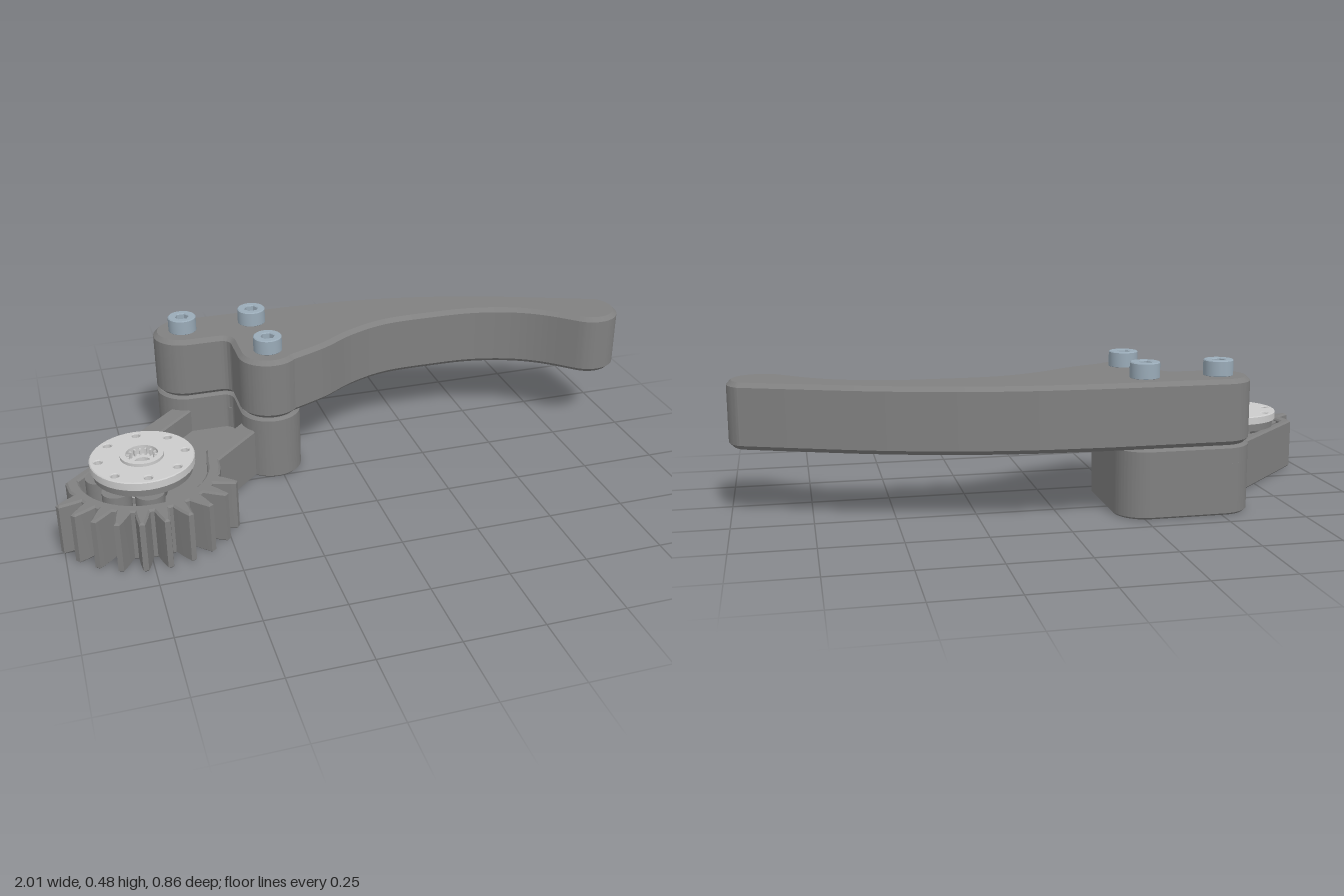
import * as THREE from 'three';
import { toCreasedNormals } from 'three/addons/utils/BufferGeometryUtils.js';

const RAD = Math.PI / 180;
const mat = (color) => new THREE.MeshStandardMaterial({ color });
const V = (x, z) => new THREE.Vector2(x, z);

// Bolt positions (x, z), gear centre, and sizes
const BOLTS = [[-0.51, -0.33], [-0.27, -0.33], [-0.27, -0.09]];
const [GX, GZ] = [-0.73, 0.125];
const R = 0.1;

// Point in the diagonal arm frame: u towards the pad, v across the arm
const P = (u, v) => V(GX + (u + v) * Math.SQRT1_2, GZ + (v - u) * Math.SQRT1_2);
const polar = (r, deg) => V(GX + r * Math.cos(deg * RAD), GZ + r * Math.sin(deg * RAD));

const arc = (s, [x, z], r, a, b) => s.absarc(x, z, r, a * RAD, b * RAD, false);

function circle(x, z, r, sides = 0) {
  if (!sides) return new THREE.Shape().absarc(x, z, r, 0, Math.PI * 2, false);
  return new THREE.Shape(Array.from({ length: sides }, (_, i) =>
    V(x + r * Math.cos(i / sides * Math.PI * 2), z + r * Math.sin(i / sides * Math.PI * 2))));
}

// Upright prism over a plan outline in (x, z)
function prism(name, shape, y0, y1, bevel, material, holes = []) {
  shape.holes.push(...holes);
  const geo = new THREE.ExtrudeGeometry(shape, {
    depth: y1 - y0 - 2 * bevel, curveSegments: 20, bevelEnabled: bevel > 0,
    bevelSize: bevel, bevelThickness: bevel, bevelOffset: -bevel, bevelSegments: 1,
  });
  geo.rotateX(Math.PI / 2).translate(0, y1 - bevel, 0);
  const mesh = new THREE.Mesh(toCreasedNormals(geo, 0.5), material);
  mesh.name = name;
  return mesh;
}

// Turned part from a closed (radius, height) profile
function turned(name, profile, x, z, material) {
  const pts = [...profile, profile[0]].map(([r, y]) => V(r, y));
  const geo = toCreasedNormals(new THREE.LatheGeometry(pts, 40), 0.5);
  const mesh = new THREE.Mesh(geo, material);
  mesh.position.set(x, 0, z);
  mesh.name = name;
  return mesh;
}

// Arm outline: gear sector, two straight sides, rounded three-bolt end
function armOutline() {
  const pts = [polar(0.24, 0), polar(0.24, 10), polar(0.24, 20)];
  for (let i = 0; i < 10; i++) {
    const a = 29 + i * 14;
    pts.push(polar(0.235, a - 5.5), polar(0.268, a - 3.6), polar(0.304, a - 1.6),
      polar(0.304, a + 1.6), polar(0.268, a + 3.6), polar(0.235, a + 5.5));
  }
  pts.push(polar(0.24, 166), polar(0.24, 180));
  const s = new THREE.Shape(pts);
  arc(s, BOLTS[0], R, 135, 270);
  arc(s, BOLTS[1], R, 270, 360);
  arc(s, BOLTS[2], R, 0, 135);
  s.closePath();
  return s;
}

// Pocket outline, optionally grown by g
function pocket(g = 0) {
  const pts = [P(0.49 + g, 0.1 + g), P(0.2, 0.1 + g)];
  for (let a = 0; a <= 180; a += 9) pts.push(polar(0.2 + g, a));
  pts.push(P(0.1, -0.14 - g), P(0.2, -0.1 - g), P(0.49 + g, -0.1 - g));
  return new THREE.Shape(pts);
}

// Inner corner shared by the pad and the handle
function innerCorner(s) {
  arc(s, BOLTS[2], R, s.padStart, 180);
  s.lineTo(-0.37, -0.19);
  s.quadraticCurveTo(-0.37, -0.23, -0.41, -0.23);
  s.closePath();
  return s;
}

function padOutline() {
  const s = new THREE.Shape();
  arc(s, BOLTS[0], R, 90, 270);
  arc(s, BOLTS[1], R, 270, 360);
  s.padStart = 0;
  return innerCorner(s);
}

function handleOutline() {
  const s = new THREE.Shape();
  arc(s, BOLTS[0], R, 90, 270);
  s.lineTo(-0.13, -0.43);
  s.splineThru([V(0.1, -0.418), V(0.32, -0.385), V(0.55, -0.325), V(0.77, -0.245), V(0.962, -0.17)]);
  arc(s, [0.897, -0.095], R, -48, 135);
  s.splineThru([V(0.73, -0.11), V(0.63, -0.165), V(0.5, -0.2), V(0.36, -0.207),
    V(0.18, -0.2), V(0.04, -0.15), V(-0.08, -0.075), V(-0.2, -0.02)]);
  s.padStart = 45;
  return innerCorner(s);
}

export function createModel() {
  const model = new THREE.Group();
  model.name = 'gearLever';
  const dark = mat(0x808080), metal = mat(0xcccccc), steel = mat(0x9aabb8);

  // Geared arm with its pocket
  const arm = new THREE.Group();
  arm.name = 'gearedArm';
  const screwAngles = [180, 135, 90, -45];
  arm.add(prism('armWalls', armOutline(), 0, 0.172, 0.006, dark,
    [pocket(), ...BOLTS.map(([x, z]) => circle(x, z, 0.045))]));
  arm.add(prism('pocketFloor', pocket(0.014), 0.001, 0.09, 0, dark, [circle(GX, GZ, 0.07),
    ...screwAngles.map((a) => { const p = polar(0.135, a); return circle(p.x, p.y, 0.026); })]));
  for (const a of screwAngles) {
    const p = polar(0.135, a);
    arm.add(turned('screwBoss', [[0.045, 0.08], [0.045, 0.172], [0.018, 0.172], [0.018, 0.08]], p.x, p.y, dark));
  }
  arm.add(prism('boltPad', padOutline(), 0.02, 0.222, 0.008, dark));
  model.add(arm);

  // Curved handle
  model.add(prism('handle', handleOutline(), 0.222, 0.43, 0.014, dark));

  // Round metal horn with a ring of holes and a splined hub
  const horn = new THREE.Group();
  horn.name = 'hornDisc';
  const ringHoles = () => [circle(GX, GZ, 0.055), ...Array.from({ length: 8 }, (_, i) => {
    const p = polar(0.135, i * 45);
    return circle(p.x, p.y, 0.013);
  })];
  horn.add(prism('hornFlange', circle(GX, GZ, 0.163), 0.195, 0.225, 0.003, metal, ringHoles()));
  horn.add(prism('hornBase', circle(GX, GZ, 0.154), 0.172, 0.196, 0, dark, ringHoles()));
  horn.add(turned('hornHub', [[0.068, 0.11], [0.068, 0.235], [0.05, 0.235], [0.05, 0.205],
    [0.026, 0.205], [0.026, 0.11]], GX, GZ, metal));
  for (let i = 0; i < 16; i++) {
    const tooth = new THREE.Mesh(new THREE.BoxGeometry(0.012, 0.022, 0.006), metal);
    const p = polar(0.046, i * 22.5);
    tooth.position.set(p.x, 0.215, p.y);
    tooth.rotation.y = -i * 22.5 * RAD;
    tooth.name = 'splineTooth';
    horn.add(tooth);
  }
  model.add(horn);

  // Socket-head bolts, with nuts showing underneath
  for (const [x, z] of BOLTS) {
    const bolt = new THREE.Group();
    bolt.name = 'bolt';
    bolt.add(prism('boltHead', circle(x, z, 0.047), 0.428, 0.48, 0.003, steel, [circle(x, z, 0.024, 6)]));
    bolt.add(prism('socketBottom', circle(x, z, 0.03), 0.425, 0.45, 0, steel));
    bolt.add(prism('boltNut', circle(x, z, 0.04, 6), 0.006, 0.03, 0, steel, [circle(x, z, 0.022)]));
    bolt.add(prism('boltEnd', circle(x, z, 0.02), 0.01, 0.03, 0, steel));
    model.add(bolt);
  }
  return model;
}
